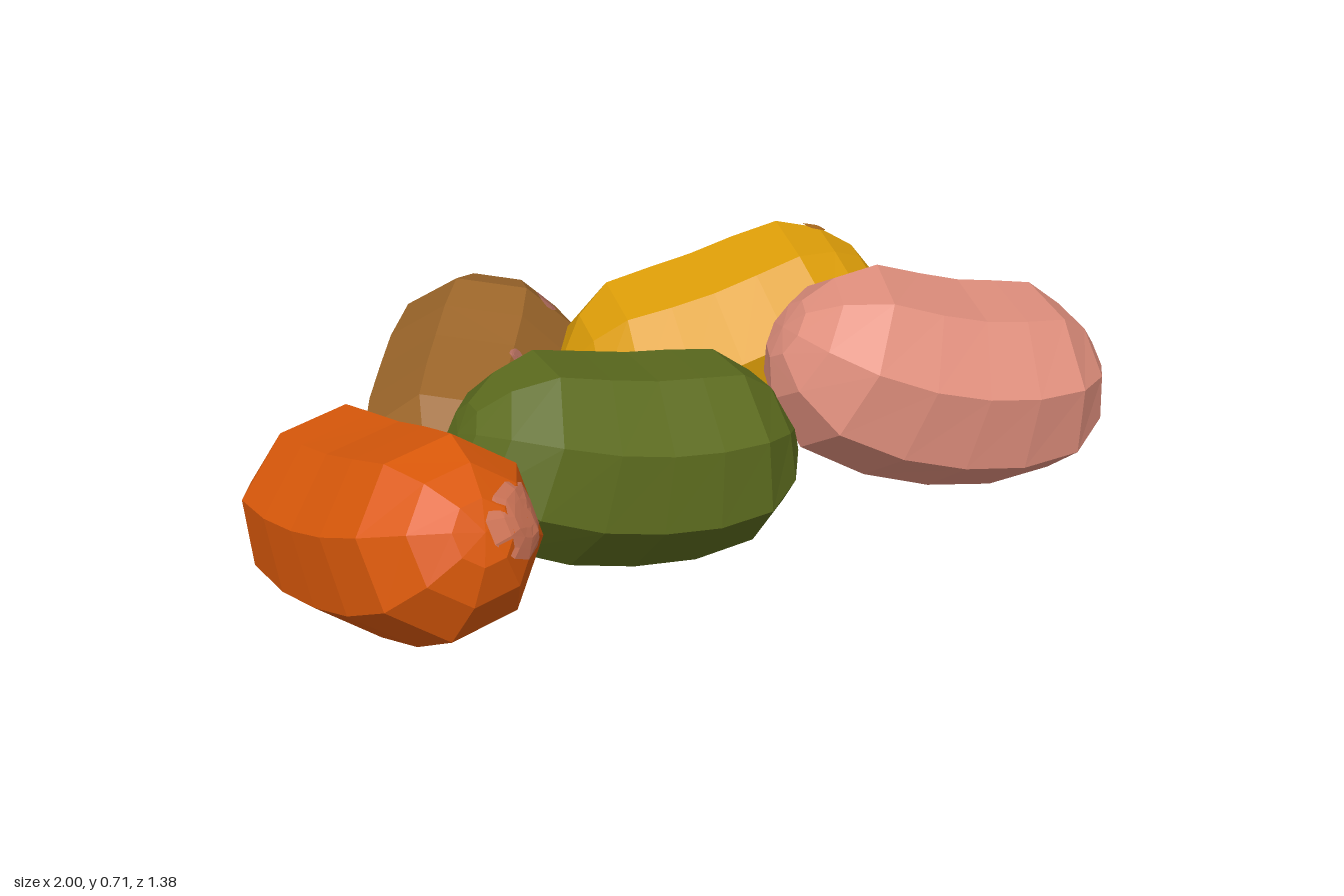
import * as THREE from 'three';

const SIDES = 8;
// Half profile along the bean: [position -1..1, radius factor]
const PROFILE = [[-1, 0], [-0.98, 0.3], [-0.87, 0.63], [-0.64, 0.93], [-0.3, 1], [0.03, 1.01],
  [0.35, 1], [0.66, 0.92], [0.87, 0.63], [0.98, 0.3], [1, 0]];

const V = (p) => new THREE.Vector3(...p);

// Gently bent centre line through start, middle and end
function centreLine(start, middle, end) {
  const a = V(start), m = V(middle), b = V(end);
  const slope = b.clone().sub(a).multiplyScalar(0.5);
  const bend = a.clone().add(b).multiplyScalar(0.5).sub(m);
  return {
    at: (t) => m.clone().addScaledVector(slope, t).addScaledVector(bend, t * t),
    tangent: (t) => slope.clone().addScaledVector(bend, 2 * t).normalize(),
  };
}

// Rings swept along the centre line, slightly dented on top, closed at both tips
function beanGeometry(line, radius, twist) {
  const pos = [], index = [];
  for (const [t, r] of PROFILE) {
    const c = line.at(t), dir = line.tangent(t);
    const side = dir.clone().cross(new THREE.Vector3(0, 1, 0)).normalize();
    const up = side.clone().cross(dir);
    for (let i = 0; i < SIDES; i++) {
      const a = twist + (i / SIDES) * Math.PI * 2;
      const dent = Math.sin(a) > 0 ? 1 - 0.06 * (1 - t * t) : 1;
      const p = c.clone().addScaledVector(side, Math.cos(a) * r * radius)
        .addScaledVector(up, Math.sin(a) * r * radius * dent);
      pos.push(p.x, p.y, p.z);
    }
  }
  const last = PROFILE.length - 2;
  for (let k = 0; k <= last; k++) {
    for (let i = 0; i < SIDES; i++) {
      const a = k * SIDES + i, b = k * SIDES + (i + 1) % SIDES;
      const c = b + SIDES, d = a + SIDES;
      if (k > 0) index.push(a, c, b);
      if (k < last) index.push(a, d, c);
    }
  }
  const indexed = new THREE.BufferGeometry();
  indexed.setAttribute('position', new THREE.Float32BufferAttribute(pos, 3));
  indexed.setIndex(index);
  const g = indexed.toNonIndexed();
  g.computeVertexNormals();
  return g;
}

// Thin patch draped over the bean's surface next to a point
function makeSpot(body, line, point, radius, material) {
  const target = V(point);
  let centre = line.at(0);
  for (let t = -0.8; t <= 0.8; t += 0.1) {
    const c = line.at(t);
    if (c.distanceTo(target) < centre.distanceTo(target)) centre = c;
  }
  const out = target.sub(centre).normalize();
  const inward = out.clone().negate();
  const turn = new THREE.Quaternion().setFromUnitVectors(new THREE.Vector3(0, 0, 1), out);
  const g = new THREE.RingGeometry(0.001, radius, 10, 4);
  const p = g.attributes.position;
  for (let i = 0; i < p.count; i++) {
    const v = new THREE.Vector3().fromBufferAttribute(p, i).applyQuaternion(turn).add(centre);
    const hit = new THREE.Raycaster(v.clone().add(out), inward).intersectObject(body)[0];
    if (hit) v.copy(hit.point).addScaledVector(out, 0.006);
    p.setXYZ(i, v.x, v.y, v.z);
  }
  g.computeVertexNormals();
  const spot = new THREE.Mesh(g, material);
  spot.name = 'spot';
  return spot;
}

function flatMaterial(name, color) {
  const m = new THREE.MeshStandardMaterial({ color, flatShading: true });
  m.name = name;
  return m;
}

export function createModel() {
  const model = new THREE.Group();
  model.name = 'beanPile';

  const beans = [
    { name: 'orange', color: 0xdb590a, radius: 0.24, twist: 0.3,
      path: [[-0.83, 0.315, -0.1], [-0.735, 0.352, 0.27], [-0.645, 0.53, 0.655]],
      spotMaterial: flatMaterial('pale orange', 0xd4785a),
      spots: [[[-0.56, 0.5, 0.59], 0.085], [[-0.78, 0.48, -0.04], 0.055],
        [[-0.58, 0.58, 0.4], 0.03], [[-0.63, 0.25, -0.02], 0.055]] },
    { name: 'green', color: 0x5c6b1e, radius: 0.244, twist: 0.5,
      path: [[-0.54, 0.495, 0.19], [-0.15, 0.358, 0.205], [0.25, 0.345, 0.205]] },
    { name: 'pink', color: 0xe08f7d, radius: 0.245, twist: 0.3,
      path: [[0.235, 0.605, 0.2], [0.605, 0.425, 0.265], [0.995, 0.405, 0.28]] },
    { name: 'yellow', color: 0xdd9d08, radius: 0.243, twist: 0.3,
      path: [[-0.13, 0.335, -0.225], [0.245, 0.368, -0.187], [0.625, 0.525, -0.135]],
      spotMaterial: flatMaterial('amber brown', 0xa8681c),
      spots: [[[0.5, 0.65, -0.21], 0.022]] },
    { name: 'brown', color: 0x9c662a, radius: 0.243, twist: 0.3,
      path: [[-0.53, 0.22, 0.02], [-0.33, 0.243, -0.32], [-0.13, 0.365, -0.635]],
      spotMaterial: flatMaterial('dusty rose', 0xb06c5c),
      spots: [[[-0.09, 0.45, -0.42], 0.032], [[-0.07, 0.22, -0.66], 0.04], [[-0.25, 0.44, -0.2], 0.022]] },
  ];

  for (const b of beans) {
    const group = new THREE.Group();
    group.name = b.name + 'Bean';
    const line = centreLine(...b.path);
    const body = new THREE.Mesh(beanGeometry(line, b.radius, b.twist), flatMaterial(b.name, b.color));
    body.name = b.name + 'BeanBody';
    group.add(body);
    for (const [point, r] of b.spots || []) group.add(makeSpot(body, line, point, r, b.spotMaterial));
    model.add(group);
  }
  return model;
}
